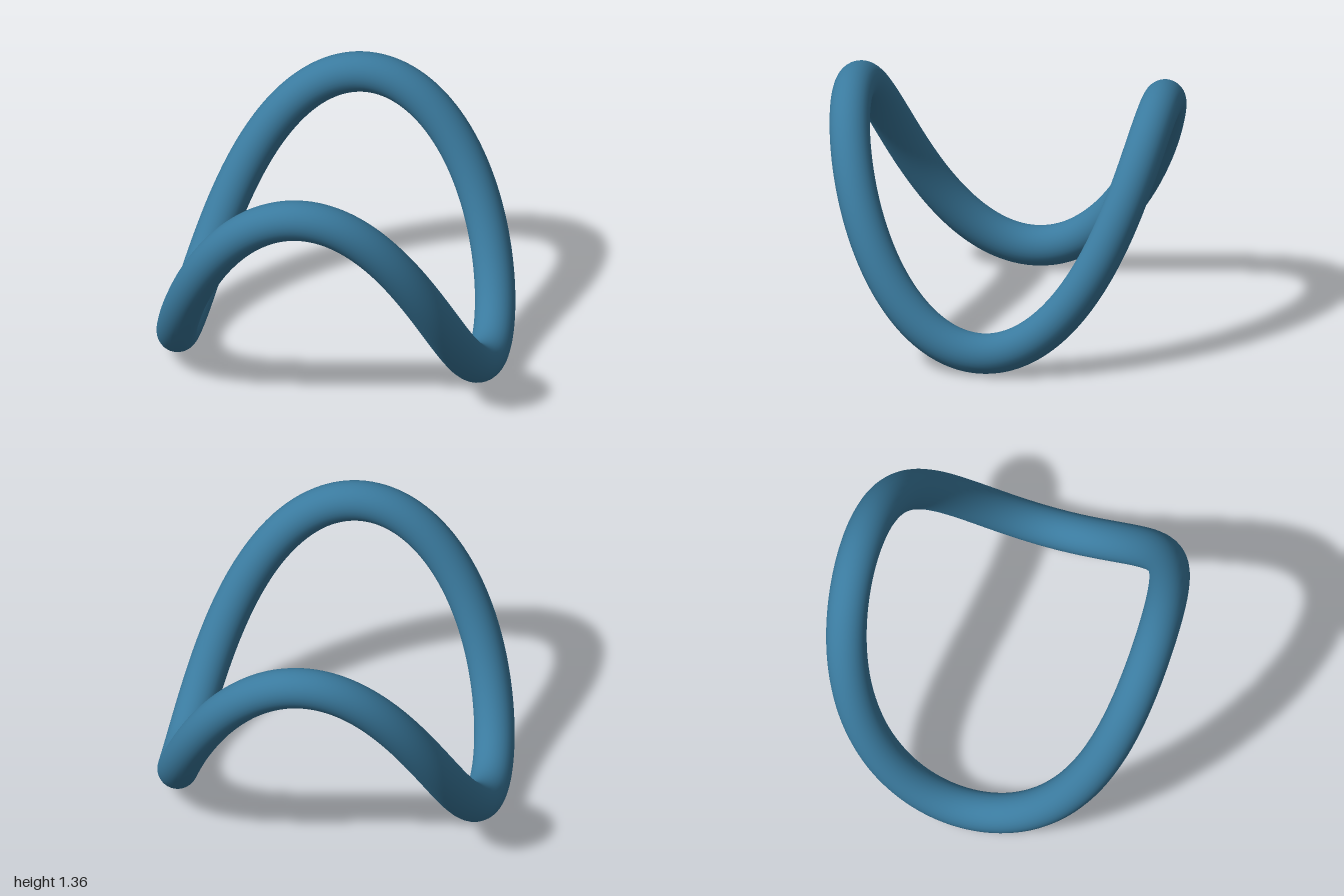
import * as THREE from 'three';

// Closed seam-like curve: a rounded square in plan, rising and dipping twice per turn
class SeamCurve extends THREE.Curve {
  getPoint(u, target = new THREE.Vector3()) {
    const t = u * Math.PI * 2;
    const a = 0.858, b = 0.042, height = 0.5735;
    return target.set(
      a * Math.cos(t) + b * Math.cos(3 * t),
      -height * Math.sin(2 * t),
      a * Math.sin(t) - b * Math.sin(3 * t)
    );
  }
}

export function createModel() {
  const group = new THREE.Group();
  group.name = 'wavyRing';

  // Round tube swept along the curve
  const ring = new THREE.Mesh(
    new THREE.TubeGeometry(new SeamCurve(), 256, 0.1065, 32, true),
    new THREE.MeshStandardMaterial({ color: 0x3a7a9e })
  );
  ring.name = 'ringTube';
  ring.position.y = 0.68;
  ring.rotation.y = THREE.MathUtils.degToRad(10);
  group.add(ring);

  return group;
}
